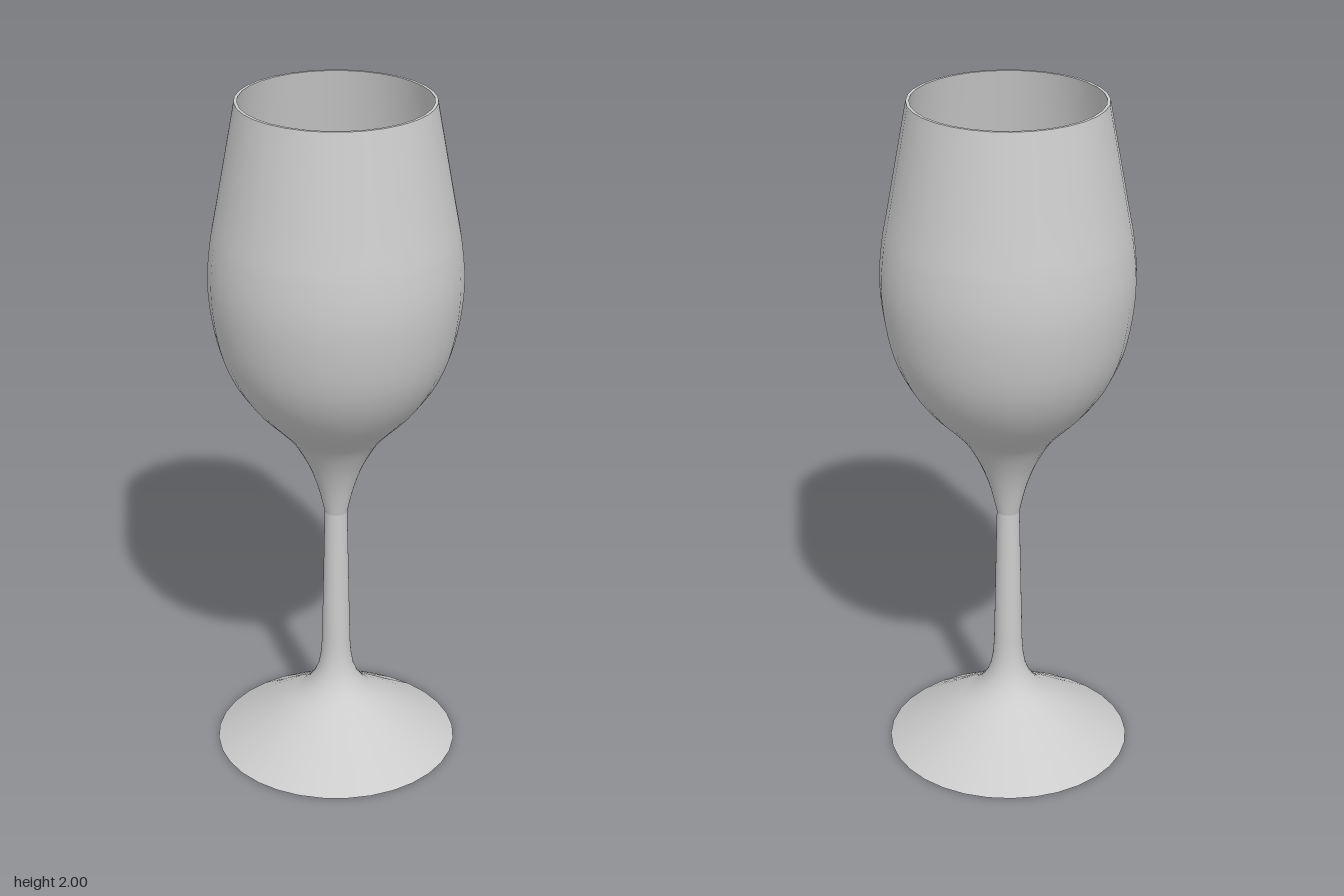
import * as THREE from 'three';

const SIDES = 32;
const material = new THREE.MeshStandardMaterial({ color: 0xcccccc, side: THREE.DoubleSide });

const toPoints = (pairs) => pairs.map(([r, y]) => new THREE.Vector2(r, y));

// Revolve a profile of [radius, height] pairs, optionally rounded by a spline
function turned(name, pairs, steps = 0) {
  let points = toPoints(pairs);
  if (steps) points = new THREE.SplineCurve(points).getPoints(steps);
  const mesh = new THREE.Mesh(new THREE.LatheGeometry(points, SIDES), material);
  mesh.name = name;
  return mesh;
}

export function createModel() {
  const glass = new THREE.Group();
  glass.name = 'wineGlass';

  // Underside of the foot, slightly hollow
  glass.add(turned('footUnderside', [[0, 0.07], [0.1, 0.06], [0.357, 0]]));

  // Conical foot flowing up into the tapered stem
  glass.add(turned('footAndStem', [
    [0.357, 0], [0.25, 0.068], [0.14, 0.14], [0.112, 0.158], [0.085, 0.183],
    [0.065, 0.212], [0.052, 0.245], [0.045, 0.285], [0.042, 0.33], [0.033, 0.76],
  ]));

  // Flared neck, belly and narrowing mouth of the bowl
  glass.add(turned('bowlOutside', [
    [0.033, 0.76], [0.052, 0.84], [0.082, 0.92], [0.125, 0.995], [0.17, 1.045],
    [0.228, 1.105], [0.285, 1.185], [0.325, 1.275], [0.348, 1.38], [0.357, 1.49],
    [0.348, 1.6], [0.33, 1.7], [0.275, 2],
  ], 36));

  // Thin flat lip
  glass.add(turned('rim', [[0.275, 2], [0.266, 2]]));

  // Inner wall down to the rounded floor
  glass.add(turned('bowlInside', [
    [0.266, 2], [0.32, 1.7], [0.338, 1.6], [0.347, 1.49], [0.338, 1.38],
    [0.315, 1.28], [0.275, 1.195], [0.218, 1.115], [0.16, 1.06], [0.1, 1.025], [0, 1.015],
  ], 32));

  return glass;
}
